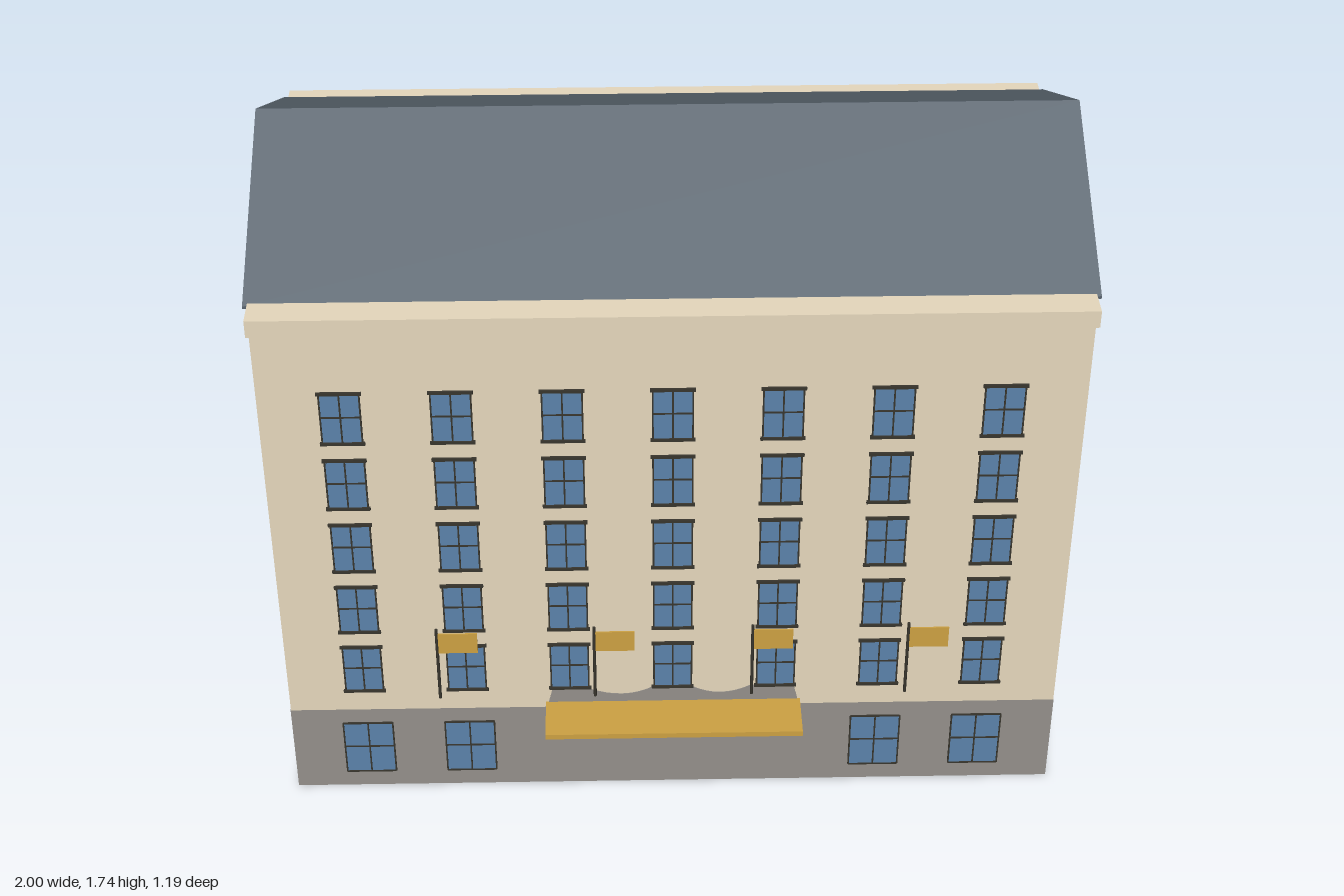
import * as THREE from 'three';

const mat = (name, color) => Object.assign(new THREE.MeshStandardMaterial({ color }), { name });

export function createModel() {
  const wall = mat('sandstone', 0xe6d8bd);
  const stone = mat('grey stone', 0x94908b);
  const slate = mat('slate', 0x5a656f);
  slate.side = THREE.DoubleSide;
  const glass = mat('blue glass', 0x5b83ab);
  const dark = mat('dark frame', 0x38352d);
  const gold = mat('gold', 0xcda143);

  const model = new THREE.Group();
  model.name = 'building';
  const FRONT = 0.468, BACK = -0.594;

  // Box given by its min and max corners
  function box(name, material, x0, x1, y0, y1, z0, z1, parent = model) {
    const mesh = new THREE.Mesh(new THREE.BoxGeometry(x1 - x0, y1 - y0, z1 - z0), material);
    mesh.position.set((x0 + x1) / 2, (y0 + y1) / 2, (z0 + z1) / 2);
    mesh.name = name;
    parent.add(mesh);
    return mesh;
  }

  // Main volumes; the basement has a dark underside
  box('basement', [stone, stone, stone, dark, stone, stone], -0.988, 0.988, 0, 0.265, BACK, FRONT);
  box('walls', wall, -0.987, 0.987, 0.265, 1.45, BACK, FRONT);
  box('cornice', wall, -0.989, 0.989, 1.45, 1.495, BACK - 0.001, 0.504);

  // Thin folded roof with open gables
  const t = 0.007;
  const profile = new THREE.Shape([
    [0.435, 1.485], [0.435, 1.485 + t], [-0.065, 1.735], [-0.565, 1.485 + t],
    [-0.565, 1.485], [-0.065, 1.735 - t],
  ].map(([z, y]) => new THREE.Vector2(-z, y)));
  const roof = new THREE.Mesh(
    new THREE.ExtrudeGeometry(profile, { depth: 2, bevelEnabled: false }), slate);
  roof.rotation.y = Math.PI / 2;
  roof.position.x = -1;
  roof.name = 'roof';
  model.add(roof);

  // Window: pane, thin frame and cross bars; upper ones also get a sill and lintel
  function addWindow(name, x, y, w, h, ledges) {
    const g = new THREE.Group();
    g.name = name;
    g.position.set(x, y, FRONT);
    const W = w / 2, H = h / 2, b = 0.002;
    box('pane', glass, -W, W, -H, H, -0.001, 0.002, g);
    for (const bx of [-W, 0, W]) box('upright', dark, bx - b, bx + b, -H, H, 0, 0.004, g);
    for (const by of [-H, 0.004, H]) box('crossbar', dark, -W, W, by - b, by + b, 0, 0.004, g);
    if (ledges) {
      for (const s of [-1, 1]) box('ledge', dark, -W - 0.006, W + 0.006, s * H - 0.004, s * H + 0.004, 0, 0.006, g);
    }
    model.add(g);
  }

  for (let col = 0; col < 7; col++) {
    const x = -0.001 + (col - 3) * 0.2635;
    for (let row = 0; row < 5; row++) addWindow('window', x, 0.405 + row * 0.1967, 0.096, 0.146, true);
    if (col < 2 || col > 4) addWindow('basementWindow', x, 0.135, 0.128, 0.168, false);
  }

  // Scalloped stone panel above the entrance
  const panel = new THREE.Shape();
  panel.moveTo(-0.325, 0.265);
  panel.lineTo(-0.31, 0.328);
  panel.lineTo(-0.22, 0.328);
  panel.quadraticCurveTo(-0.125, 0.285, -0.05, 0.332);
  panel.lineTo(0.045, 0.332);
  panel.quadraticCurveTo(0.12, 0.285, 0.2, 0.332);
  panel.lineTo(0.31, 0.332);
  panel.lineTo(0.325, 0.265);
  const surround = new THREE.Mesh(
    new THREE.ExtrudeGeometry(panel, { depth: 0.0015, bevelEnabled: false, curveSegments: 8 }), stone);
  surround.position.z = FRONT;
  surround.name = 'entranceSurround';
  model.add(surround);

  // Entrance canopy
  box('canopy', gold, -0.328, 0.328, 0.268, 0.283, FRONT, 0.595);

  // Flags on slim poles
  for (const x of [-0.596, -0.2, 0.2, 0.593]) {
    const pole = new THREE.Mesh(new THREE.CylinderGeometry(0.004, 0.004, 0.228, 8), dark);
    pole.position.set(x, 0.447, 0.503);
    pole.name = 'flagPole';
    model.add(pole);
    box('flag', gold, x + 0.002, x + 0.102, 0.484, 0.546, 0.501, 0.505);
  }

  return model;
}
